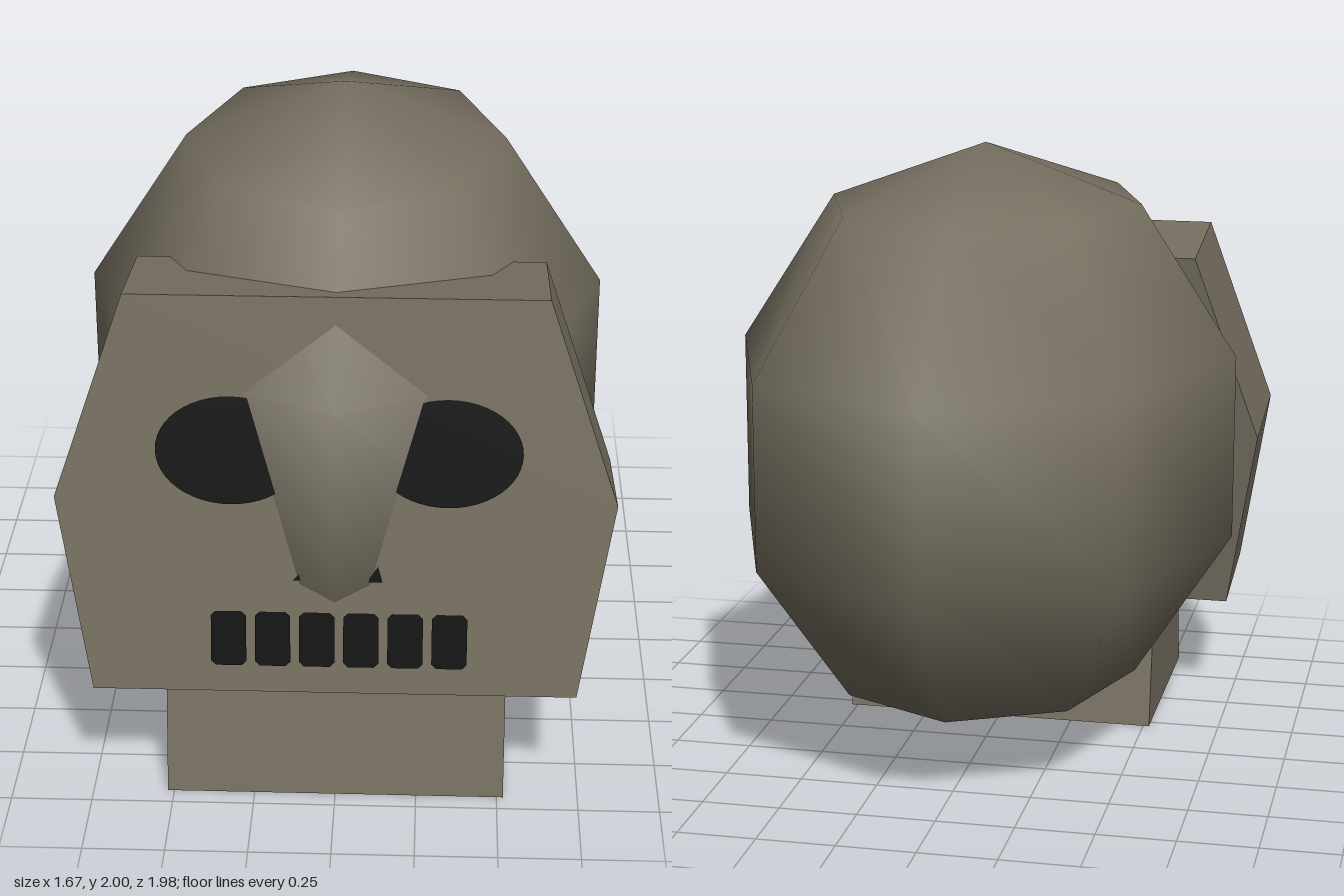
import * as THREE from 'three';

const bone = new THREE.MeshStandardMaterial({ name: 'bone', color: 0x766f60 });
const black = new THREE.MeshStandardMaterial({ name: 'socketBlack', color: 0x0e0e0e });

const polygon = (points) => new THREE.Shape(points.map(([x, y]) => new THREE.Vector2(x, y)));

function addMesh(parent, name, geometry, material) {
  const mesh = new THREE.Mesh(geometry, material);
  mesh.name = name;
  parent.add(mesh);
  return mesh;
}

const extrude = (shape, depth) => new THREE.ExtrudeGeometry(shape, { depth, bevelEnabled: false });

export function createModel() {
  const model = new THREE.Group();
  model.name = 'skull';

  // Low-poly cranium; its front ridge pokes through the face as the nose
  const cranium = addMesh(model, 'cranium', new THREE.SphereGeometry(1, 8, 5), bone);
  cranium.scale.set(0.852, 0.955, 1.04);
  cranium.position.y = 1.045;

  // Jaw block: a trapezoid profile (z, y) extruded across x
  const jaw = extrude(polygon([[-0.94, 0], [-0.21, 0], [-0.285, 0.42], [-0.865, 0.42]]), 1.04);
  jaw.translate(0, 0, -0.52).rotateY(Math.PI / 2);
  addMesh(model, 'jaw', jaw, bone);

  // Leaning face; its local origin is the bottom of the front surface
  const lean = THREE.MathUtils.degToRad(8);
  const face = new THREE.Group();
  face.name = 'face';
  face.position.set(0, 0.4, 0.985);
  face.rotation.x = -lean;
  model.add(face);

  const slab = extrude(polygon([
    [-0.73, 0], [0.73, 0], [0.833, 0.617], [0.62, 1.245], [-0.62, 1.245], [-0.833, 0.617],
  ]), 0.41);
  slab.translate(0, 0, -0.41);
  addMesh(face, 'faceSlab', slab, bone);

  // Painted details lie just in front of the slab, placed by model height
  const paint = (name, shape, x, y) => {
    const mesh = addMesh(face, name, new THREE.ShapeGeometry(shape, 24), black);
    mesh.position.set(x, (y - 0.4) / Math.cos(lean), 0.004);
  };

  // Eye sockets
  const socket = new THREE.Shape();
  socket.absellipse(0, 0, 0.22, 0.168, 0, Math.PI * 2);
  paint('rightEye', socket, -0.31, 1.165);
  paint('leftEye', socket, 0.332, 1.165);

  // Nostril corners beside the nose
  paint('rightNostril', polygon([[-0.012, -0.01], [0.03, -0.01], [0.01, 0.015]]), -0.112, 0.772);
  paint('leftNostril', polygon([[-0.03, -0.02], [0.018, -0.02], [0.004, 0.03]]), 0.125, 0.78);

  // Row of tooth gaps with clipped corners
  const w = 0.053, h = 0.088, c = 0.014;
  const tooth = polygon([
    [-w + c, -h], [w - c, -h], [w, -h + c], [w, h - c],
    [w - c, h], [-w + c, h], [-w, h - c], [-w, -h + c],
  ]);
  for (let i = 0; i < 6; i++) paint('tooth', tooth, -0.318 + i * 0.1325, 0.573);

  return model;
}
